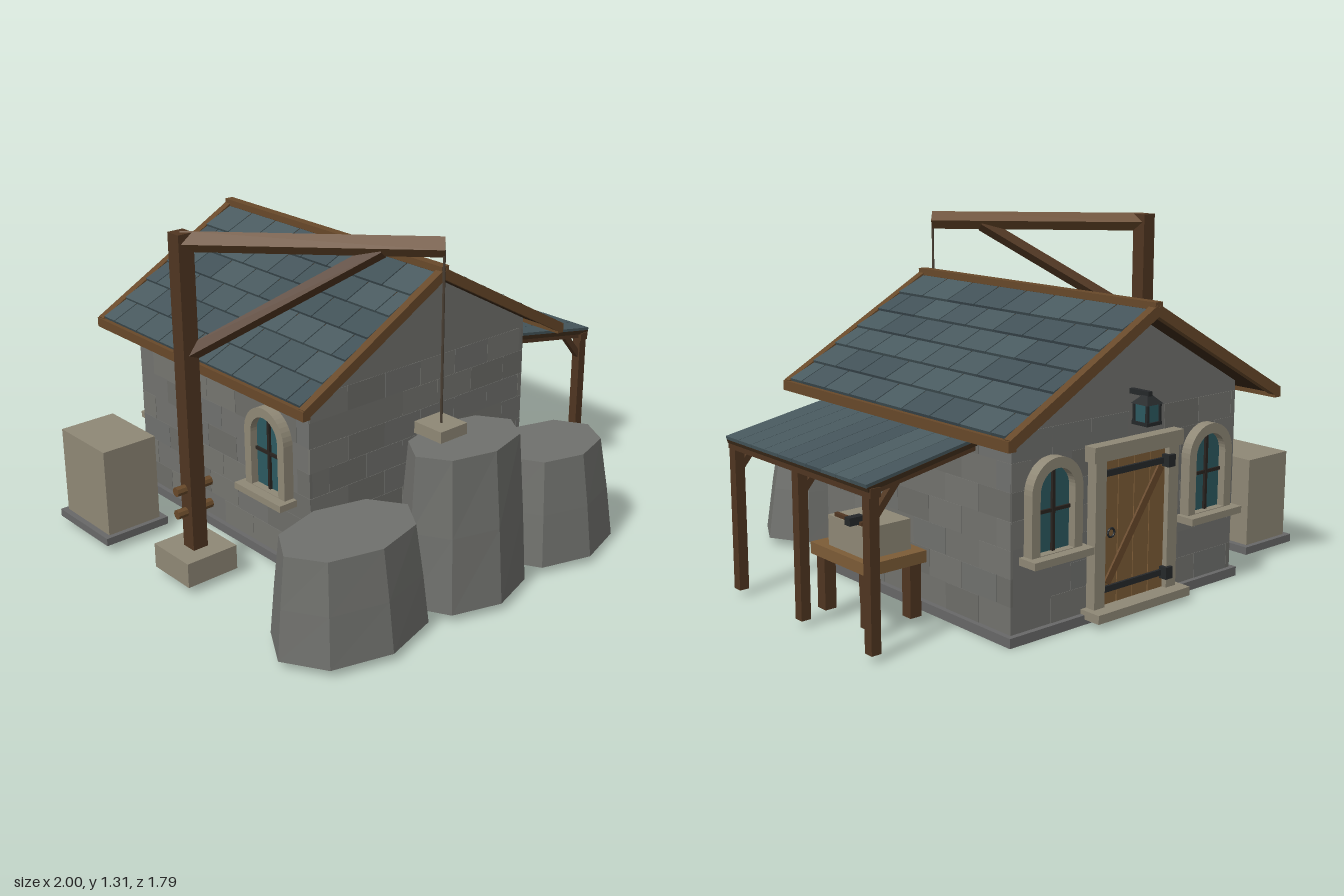
import * as THREE from 'three';

const mat = (color) => new THREE.MeshStandardMaterial({ color, flatShading: true });
const M = {
  wall: mat(0x72726e), base: mat(0x686868), rock: mat(0x70716d), stone: mat(0x8f8876),
  trim: mat(0x68492a), wood: mat(0x503621), deck: mat(0x3a2918), plank: mat(0x7d5c37),
  iron: mat(0x25282a), glass: mat(0x2c5960), lead: mat(0x2a2420), rope: mat(0x4a3f33),
};
const bricks = [0x6d6d69, 0x757570, 0x70716e].map(mat);
const slates = [0x44545a, 0x495a5f, 0x415157, 0x47585d].map(mat);

// small seeded generator
function seeded(s) {
  return () => (s = (s * 16807) % 2147483647) / 2147483647;
}

function add(parent, name, geo, material, x = 0, y = 0, z = 0) {
  const m = new THREE.Mesh(geo, material);
  m.name = name;
  m.position.set(x, y, z);
  parent.add(m);
  return m;
}

// box from min and max corners
function box(parent, name, material, x0, x1, y0, y1, z0, z1) {
  return add(parent, name, new THREE.BoxGeometry(x1 - x0, y1 - y0, z1 - z0), material,
    (x0 + x1) / 2, (y0 + y1) / 2, (z0 + z1) / 2);
}

// timber between two points; diagonal ones end up rolled onto an edge
function beam(parent, name, material, a, b, w, d = w) {
  const p = new THREE.Vector3(...a), q = new THREE.Vector3(...b);
  const m = add(parent, name, new THREE.BoxGeometry(w, p.distanceTo(q), d), material);
  m.position.copy(p).lerp(q, 0.5);
  m.quaternion.setFromUnitVectors(new THREE.Vector3(0, 1, 0), q.sub(p).normalize());
  return m;
}

function subgroup(parent, name, x = 0, y = 0, z = 0, ry = 0) {
  const g = new THREE.Group();
  g.name = name;
  g.position.set(x, y, z);
  g.rotation.y = ry;
  parent.add(g);
  return g;
}

function arch(P, half, y0, spring) {
  const s = new P();
  s.moveTo(-half, y0);
  s.lineTo(half, y0);
  s.lineTo(half, spring);
  s.absarc(0, spring, half, 0, Math.PI, false);
  s.lineTo(-half, y0);
  return s;
}
const extrude = (shape, depth) =>
  new THREE.ExtrudeGeometry(shape, { depth, bevelEnabled: false, curveSegments: 10 });

// arched window facing +z from the wall plane
function archedWindow(parent, x, z, ry) {
  const g = subgroup(parent, 'window', x, 0, z, ry);
  const frame = arch(THREE.Shape, 0.115, 0.29, 0.51);
  frame.holes.push(arch(THREE.Path, 0.078, 0.3, 0.51));
  add(g, 'windowFrame', extrude(frame, 0.042), M.stone);
  add(g, 'windowGlass', extrude(arch(THREE.Shape, 0.08, 0.295, 0.51), 0.012), M.glass);
  box(g, 'mullion', M.lead, -0.006, 0.006, 0.295, 0.59, 0, 0.022);
  box(g, 'glazingBar', M.lead, -0.078, 0.078, 0.435, 0.447, 0, 0.02);
  box(g, 'windowSill', M.stone, -0.135, 0.135, 0.272, 0.298, 0, 0.08);
}

// running-bond stones, barely proud of a wall facing +z
function stoneCourses(parent, x, z, ry, width, seed) {
  const g = subgroup(parent, 'wallStones', x, 0, z, ry), rnd = seeded(seed);
  for (let r = 0; r < 7; r++) {
    const y0 = 0.035 + r * 0.098;
    for (let u = -width / 2 - (r % 2) * 0.09; u < width / 2; u += 0.18) {
      const a = Math.max(u, -width / 2), b = Math.min(u + 0.178, width / 2);
      const m = bricks[Math.floor(rnd() * 3)];
      if (b - a > 0.02 && rnd() > 0.3) box(g, 'wallStone', m, a, b, y0, y0 + 0.096, -0.01, 0.0015);
    }
  }
}

function buildHouse(root) {
  const g = subgroup(root, 'house');
  box(g, 'foundation', M.base, -0.57, 0.57, 0, 0.035, -0.79, 0.31);
  const gable = new THREE.Shape([[-0.55, 0.03], [0.55, 0.03], [0.55, 0.755], [0, 1.06], [-0.55, 0.755]]
    .map((p) => new THREE.Vector2(...p)));
  add(g, 'walls', extrude(gable, 1.06), M.wall, 0, 0, -0.77);
  stoneCourses(g, 0, 0.29, 0, 1.1, 11);
  stoneCourses(g, 0, -0.77, Math.PI, 1.1, 23);
  stoneCourses(g, 0.55, -0.24, Math.PI / 2, 1.06, 37);
  stoneCourses(g, -0.55, -0.24, -Math.PI / 2, 1.06, 51);
  archedWindow(g, 0.38, -0.77, Math.PI);
  archedWindow(g, -0.38, -0.77, Math.PI);
  archedWindow(g, -0.55, 0.08, -Math.PI / 2);

  // plank door with frame, straps and step
  const d = subgroup(g, 'door', 0, 0, -0.77, Math.PI);
  for (const s of [-1, 1]) box(d, 'doorJamb', M.stone, s * 0.18 - 0.025, s * 0.18 + 0.025, 0.03, 0.59, 0, 0.042);
  box(d, 'lintel', M.stone, -0.22, 0.22, 0.575, 0.63, 0, 0.05);
  box(d, 'doorStep', M.stone, -0.23, 0.23, 0.02, 0.052, 0, 0.09);
  for (let i = 0; i < 4; i++) box(d, 'doorPlank', M.plank, -0.155 + i * 0.0785, -0.08 + i * 0.0785, 0.05, 0.575, 0, 0.022);
  box(d, 'doorBacking', M.deck, -0.157, 0.157, 0.05, 0.576, 0, 0.016);
  for (const y of [0.11, 0.525]) {
    box(d, 'hingeStrap', M.iron, -0.155, 0.15, y - 0.011, y + 0.011, 0, 0.032);
    box(d, 'hinge', M.iron, 0.14, 0.175, y - 0.022, y + 0.022, 0, 0.055);
  }
  beam(d, 'doorBrace', M.trim, [-0.13, 0.13, 0.024], [0.13, 0.505, 0.024], 0.03, 0.012);
  add(d, 'doorHandle', new THREE.TorusGeometry(0.016, 0.004, 6, 12), M.iron, -0.115, 0.31, 0.028);

  // lantern above the door
  const l = subgroup(g, 'lantern', 0, 0, -0.77, Math.PI);
  box(l, 'lanternBracket', M.iron, -0.01, 0.01, 0.782, 0.8, 0, 0.09);
  box(l, 'lanternGlass', M.glass, -0.03, 0.03, 0.695, 0.76, 0.045, 0.105);
  for (const x of [-0.03, 0.03]) for (const z of [0.045, 0.105])
    box(l, 'lanternBar', M.iron, x - 0.005, x + 0.005, 0.69, 0.76, z - 0.005, z + 0.005);
  box(l, 'lanternBase', M.iron, -0.037, 0.037, 0.685, 0.697, 0.038, 0.112);
  const cap = add(l, 'lanternCap', new THREE.CylinderGeometry(0.018, 0.056, 0.028, 4), M.iron, 0, 0.772, 0.075);
  cap.rotation.y = Math.PI / 4;
}

function buildRoof(root) {
  const roof = subgroup(root, 'roof', 0, 1.08, -0.245);
  const slope = Math.atan2(0.36, 0.65), L = 0.743, rnd = seeded(7);
  for (const ry of [0, Math.PI]) {
    const side = subgroup(roof, 'roofSide', 0, 0, 0, ry);
    const p = subgroup(side, 'roofPitch');
    p.rotation.z = -slope;
    box(p, 'roofDeck', M.deck, 0, L, -0.0125, 0.0125, -0.635, 0.635);
    for (const z of [-0.63, 0.63]) box(p, 'bargeBoard', M.trim, -0.005, L, -0.018, 0.02, z - 0.016, z + 0.016);
    // overlapping slate rows, each tilted over the next
    for (let r = 0; r < 6; r++) {
      for (let z = -0.617 - (r % 2) * 0.077; z < 0.61; z += 0.1543) {
        const a = Math.max(z, -0.614), b = Math.min(z + 0.149, 0.614);
        if (b - a < 0.02) continue;
        const x0 = 0.015 + r * 0.117;
        const t = box(p, 'slate', slates[Math.floor(rnd() * 4)], x0, x0 + 0.135, 0.007, 0.019, a, b);
        t.rotation.z = 0.09;
      }
    }
    box(side, 'eaveBoard', M.trim, 0.634, 0.666, -0.382, -0.345, -0.645, 0.645);
  }
  box(roof, 'ridgeBeam', M.trim, -0.018, 0.018, -0.015, 0.03, -0.645, 0.645);
}

function buildLeanTo(root) {
  const g = subgroup(root, 'leanTo'), rnd = seeded(19);
  const p = subgroup(g, 'leanToRoof', 0.54, 0.668, -0.172);
  p.rotation.z = -Math.atan2(0.083, 0.455);
  box(p, 'leanToDeck', M.deck, 0, 0.465, -0.014, 0.002, -0.43, 0.43);
  for (let i = 0; i < 10; i++) {
    const z = -0.43 + i * 0.086;
    box(p, 'leanToSlate', slates[Math.floor(rnd() * 4)], 0, 0.467, 0, 0.013, z + 0.001, z + 0.085);
  }
  box(g, 'eaveBeam', M.wood, 0.95, 0.99, 0.55, 0.582, -0.607, 0.262);
  for (const z of [0.236, -0.172, -0.58]) {
    box(g, 'leanToPost', M.wood, 0.952, 0.99, 0.025, 0.57, z - 0.019, z + 0.019);
    beam(g, 'postBrace', M.wood, [0.97, 0.47, z], [0.86, 0.6, z], 0.024);
    beam(g, 'rafter', M.wood, [0.55, 0.645, z], [0.98, 0.567, z], 0.024);
  }

  // workbench with a stone and a hammer
  const t = subgroup(root, 'workbench');
  box(t, 'benchTop', M.plank, 0.657, 0.903, 0.235, 0.277, -0.46, -0.125);
  for (const x of [0.692, 0.867]) for (const z of [-0.42, -0.165])
    box(t, 'benchLeg', M.wood, x - 0.023, x + 0.023, 0.04, 0.24, z - 0.023, z + 0.023);
  box(t, 'cutStone', M.stone, 0.69, 0.875, 0.275, 0.385, -0.415, -0.195);
  box(t, 'hammerHandle', M.wood, 0.855, 0.87, 0.385, 0.398, -0.385, -0.225);
  box(t, 'hammerHead', M.iron, 0.848, 0.907, 0.388, 0.416, -0.37, -0.34);
}

function buildCrane(root) {
  const g = subgroup(root, 'crane');
  box(g, 'craneFooting', M.stone, -0.945, -0.73, 0.03, 0.125, -0.13, 0.08);
  box(g, 'cranePost', M.wood, -0.87, -0.808, 0.12, 1.308, -0.05, 0.012);
  beam(g, 'craneArm', M.trim, [-0.84, 1.275, -0.02], [-0.225, 1.275, 0.62], 0.052);
  beam(g, 'craneBrace', M.wood, [-0.84, 0.865, -0.02], [-0.37, 1.26, 0.467], 0.042);
  for (const y of [0.27, 0.36]) {
    const rod = add(g, 'windlassRod', new THREE.CylinderGeometry(0.018, 0.018, 0.15, 8), M.trim, -0.835, y, -0.025);
    rod.rotation.z = Math.PI / 2;
  }
  add(g, 'rope', new THREE.CylinderGeometry(0.005, 0.005, 0.64, 6), M.rope, -0.228, 0.945, 0.62);
  box(g, 'hoistedStone', M.stone, -0.29, -0.163, 0.598, 0.642, 0.55, 0.682);
}

// eight-sided boulder tapering between a bottom and a top footprint [x0, x1, z0, z1]
function boulder(parent, height, bottom, top) {
  const geo = new THREE.CylinderGeometry(1, 1, 1, 8, 2), p = geo.attributes.position;
  for (let i = 0; i < p.count; i++) {
    const t = p.getY(i) + 0.5, k = Math.pow(t, 1.15);
    const [x0, x1, z0, z1] = bottom.map((v, j) => v + (top[j] - v) * k);
    p.setXYZ(i, (x0 + x1) / 2 + p.getX(i) * (x1 - x0) / 2, 0.03 + t * (height - 0.03),
      (z0 + z1) / 2 + p.getZ(i) * (z1 - z0) / 2);
  }
  geo.computeVertexNormals();
  add(parent, 'boulder', geo, M.rock);
}

export function createModel() {
  const root = new THREE.Group();
  root.name = 'stonemasonWorkshop';
  buildHouse(root);
  buildRoof(root);
  buildLeanTo(root);
  buildCrane(root);

  const rocks = subgroup(root, 'boulders');
  boulder(rocks, 0.405, [-1, -0.375, 0.44, 0.88], [-0.965, -0.42, 0.48, 0.835]);
  boulder(rocks, 0.6, [-0.455, 0.07, 0.49, 0.9], [-0.425, 0.045, 0.545, 0.85]);
  boulder(rocks, 0.435, [0.02, 0.58, 0.465, 0.89], [0.065, 0.51, 0.51, 0.84]);

  // squared stone block on its slab
  const s = subgroup(root, 'stoneBlock');
  box(s, 'slab', M.base, -0.995, -0.72, 0.03, 0.06, -0.715, -0.38);
  box(s, 'block', M.stone, -0.972, -0.745, 0.055, 0.403, -0.695, -0.4);
  return root;
}
